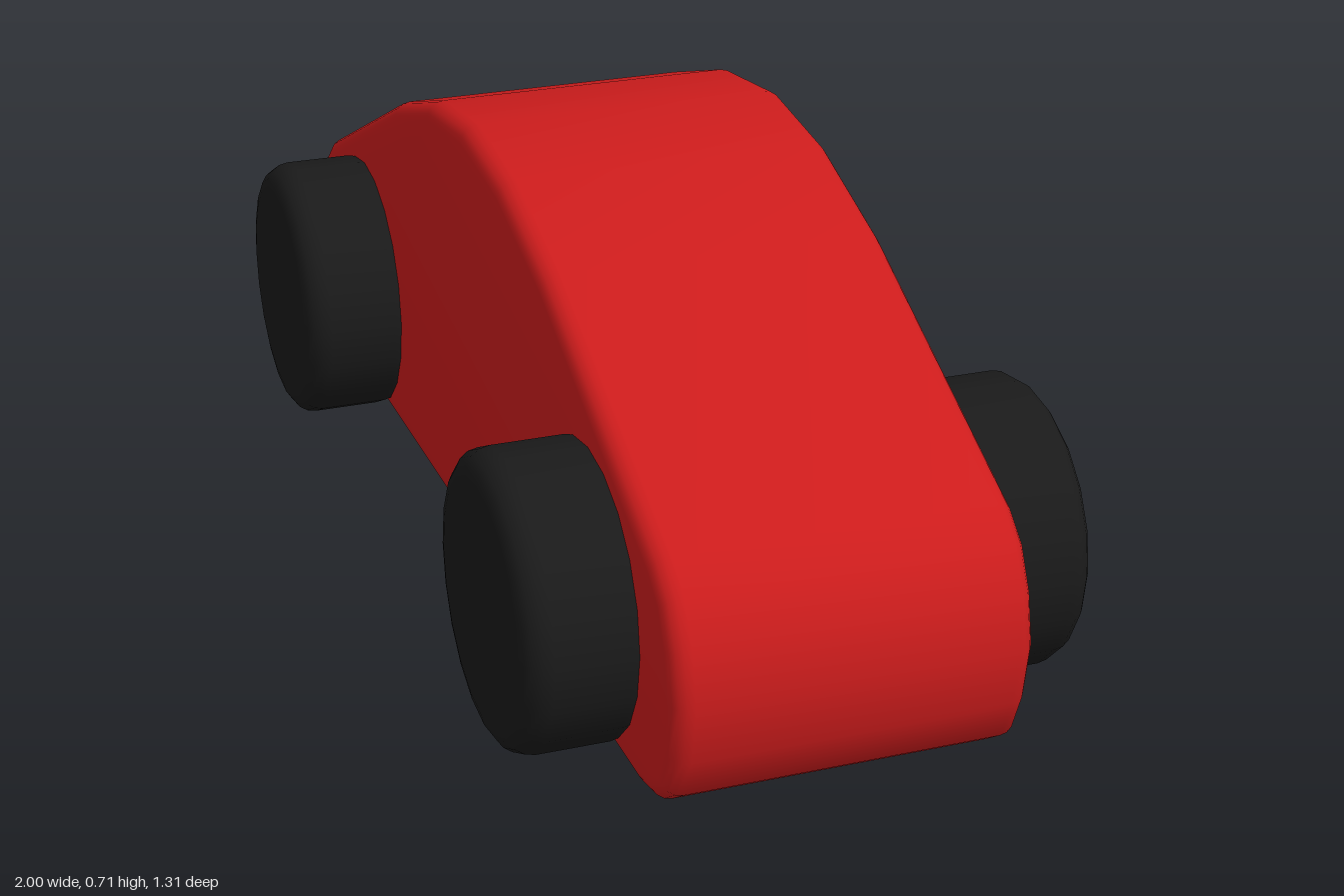
import * as THREE from 'three';
import { toCreasedNormals } from 'three/addons/utils/BufferGeometryUtils.js';

const HEADING = -0.31; // the car stands turned about the vertical axis
const BODY_WIDTH = 0.535;
const BEVEL = 0.03;

// Right half of the side profile, from the roof down to the floor.
const HALF_PROFILE = [
  [0.195, 0.69], [0.405, 0.62], [0.878, 0.395], [0.925, 0.355], [0.957, 0.29],
  [0.973, 0.21], [0.957, 0.12], [0.93, 0.055], [0.883, 0.022], [0.826, 0.011],
];

function makeBody() {
  const points = [
    [0, 0.715],
    ...HALF_PROFILE,
    ...HALF_PROFILE.map(([x, y]) => [-x, y]).reverse(),
  ].map(([x, y]) => new THREE.Vector2(x, y)).reverse();
  const depth = BODY_WIDTH - 2 * BEVEL;
  const geometry = new THREE.ExtrudeGeometry(new THREE.Shape(points), {
    depth, bevelEnabled: true, bevelThickness: BEVEL, bevelSize: BEVEL,
    bevelOffset: -BEVEL, bevelSegments: 4,
  });
  geometry.translate(0, 0, -depth / 2);
  const body = new THREE.Mesh(
    toCreasedNormals(geometry, 0.8),
    new THREE.MeshStandardMaterial({ color: 0xcc1c1c }),
  );
  body.name = 'body';
  return body;
}

// Solid wheel with rounded shoulders, its axle along z.
function makeWheelGeometry(radius, width, round) {
  const profile = [new THREE.Vector2(0, -width / 2)];
  for (const side of [-1, 1]) {
    for (let i = 0; i <= 4; i++) {
      const a = (side < 0 ? i - 4 : i) * Math.PI / 8;
      profile.push(new THREE.Vector2(
        radius - round + round * Math.cos(a),
        side * (width / 2 - round) + round * Math.sin(a),
      ));
    }
  }
  profile.push(new THREE.Vector2(0, width / 2));
  return new THREE.LatheGeometry(profile, 20).rotateX(Math.PI / 2);
}

export function createModel() {
  const car = new THREE.Group();
  car.name = 'car';
  car.add(makeBody());

  // Four wheels, partly sunk into the sides
  const wheelGeometry = makeWheelGeometry(0.2225, 0.19, 0.04);
  const rubber = new THREE.MeshStandardMaterial({ color: 0x1a1a1a });
  for (const x of [-1, 1]) {
    for (const z of [-1, 1]) {
      const wheel = new THREE.Mesh(wheelGeometry, rubber);
      wheel.name = (x > 0 ? 'front' : 'rear') + (z > 0 ? 'Right' : 'Left') + 'Wheel';
      wheel.position.set(x * 0.613, 0.2225, z * 0.335);
      car.add(wheel);
    }
  }

  car.rotation.y = HEADING;
  const model = new THREE.Group();
  model.name = 'toyCar';
  model.add(car);
  return model;
}
